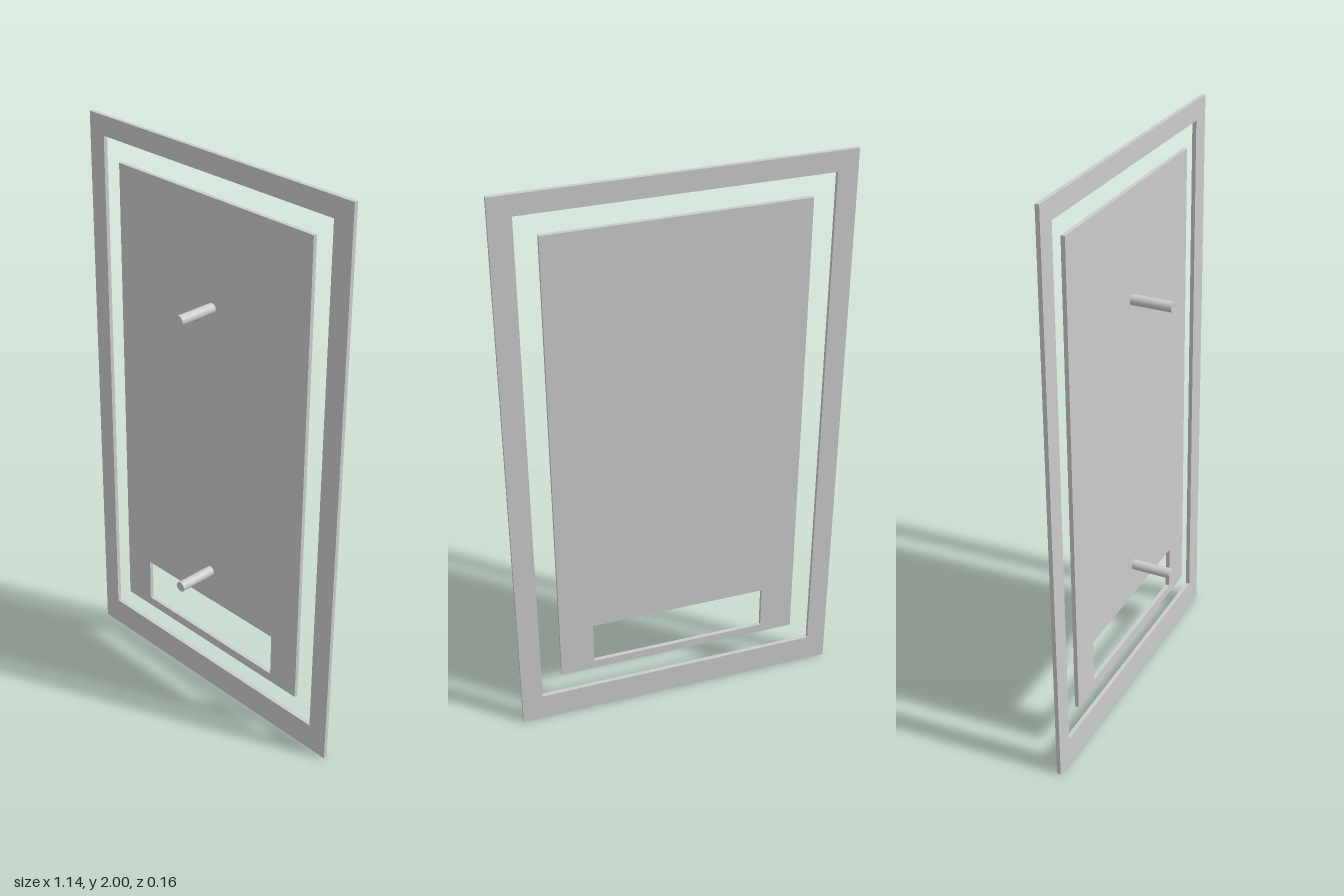
import * as THREE from 'three';

const BACK = -0.078, THICKNESS = 0.014, PIN_END = 0.078;

// Trace a rectangle given by its left, right, bottom and top edges
function rect(path, [l, r, b, t]) {
  path.moveTo(l, b);
  path.lineTo(r, b);
  path.lineTo(r, t);
  path.lineTo(l, t);
  path.closePath();
  return path;
}

// Flat rectangular plate with one rectangular cut-out
function plate(name, outer, hole, material) {
  const shape = rect(new THREE.Shape(), outer);
  shape.holes.push(rect(new THREE.Path(), hole));
  const geometry = new THREE.ExtrudeGeometry(shape, { depth: THICKNESS, bevelEnabled: false });
  const mesh = new THREE.Mesh(geometry, material);
  mesh.name = name;
  mesh.position.z = BACK;
  return mesh;
}

export function createModel() {
  const model = new THREE.Group();
  model.name = 'framedPanel';
  const material = new THREE.MeshStandardMaterial({ color: 0xcccccc });

  // Outer border, and the separate panel with its slot
  model.add(plate('outerFrame', [-0.57, 0.57, 0, 2], [-0.503, 0.497, 0.1, 1.932], material));
  model.add(plate('innerPanel', [-0.43, 0.424, 0.18, 1.86], [-0.314, 0.306, 0.212, 0.37], material));

  // Round pins standing out from the front of the panel
  const start = BACK + THICKNESS / 2;
  const pin = new THREE.CylinderGeometry(0.018, 0.018, PIN_END - start, 32).rotateX(Math.PI / 2);
  for (const [name, y] of [['upperPin', 1.493], ['lowerPin', 0.491]]) {
    const mesh = new THREE.Mesh(pin, material);
    mesh.name = name;
    mesh.position.set(0.005, y, (start + PIN_END) / 2);
    model.add(mesh);
  }
  return model;
}
